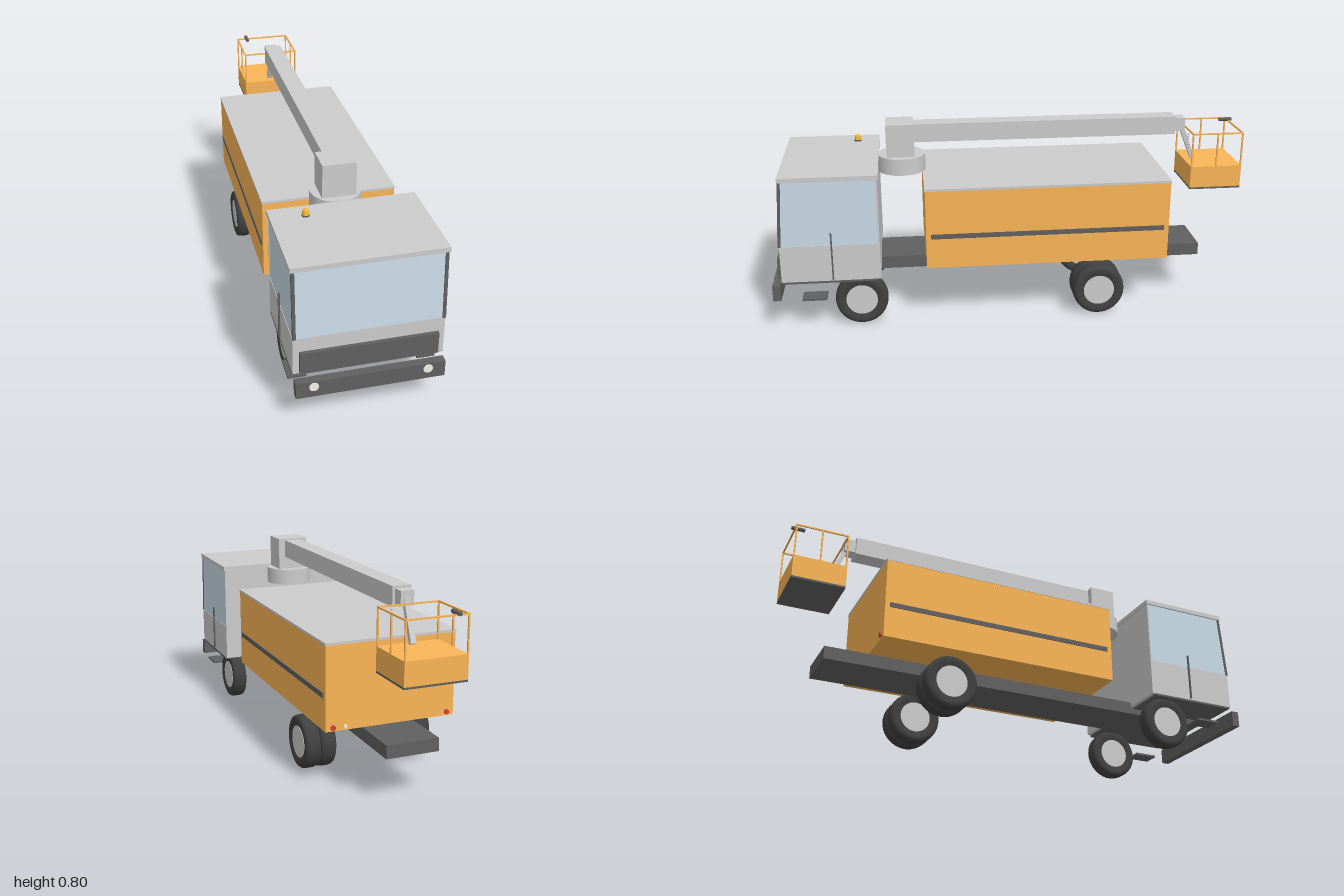
import * as THREE from 'three';

const mat = (color) => new THREE.MeshStandardMaterial({ color });
const GREY = mat(0xcccccc), ORANGE = mat(0xfab556), DARK = mat(0x606060), RUBBER = mat(0x404040);
const GLASS = mat(0xc8dae6), WHITE = mat(0xf2f2ea), RED = mat(0xd84030), AMBER = mat(0xf0b830);

export function createModel() {
  const model = new THREE.Group();

  const add = (name, geometry, material, x = 0, y = 0, z = 0, parent = model) => {
    const mesh = new THREE.Mesh(geometry, material);
    mesh.name = name;
    mesh.position.set(x, y, z);
    parent.add(mesh);
    return mesh;
  };
  // Box given by its lower and upper limits on each axis
  const box = (name, material, [x0, x1], [y0, y1], [z0, z1], parent) =>
    add(name, new THREE.BoxGeometry(x1 - x0, y1 - y0, z1 - z0), material,
      (x0 + x1) / 2, (y0 + y1) / 2, (z0 + z1) / 2, parent);
  // Side outline as [z, y] points, extruded across x
  const sideExtrude = (name, material, points, x0, x1, parent) => {
    const shape = new THREE.Shape(points.map(([z, y]) => new THREE.Vector2(-z, y)));
    const g = new THREE.ExtrudeGeometry(shape, { depth: x1 - x0, bevelEnabled: false });
    g.rotateY(Math.PI / 2);
    return add(name, g, material, x0, 0, 0, parent);
  };

  // Chassis and bumper
  box('chassis', DARK, [-0.108, 0.108], [0.187, 0.24], [-0.83, 0.89]);
  box('bumper', DARK, [-0.282, 0.282], [0.138, 0.205], [0.965, 0.998]);

  // Cab
  const cab = new THREE.Group();
  cab.name = 'cab';
  model.add(cab);
  box('cabLower', GREY, [-0.284, 0.284], [0.22, 0.375], [0.56, 0.957], cab);
  box('cabFloor', DARK, [-0.286, 0.286], [0.212, 0.22], [0.57, 0.95], cab);
  sideExtrude('cabWindows', GLASS,
    [[0.56, 0.375], [0.957, 0.375], [0.938, 0.65], [0.56, 0.65]], -0.282, 0.282, cab);
  box('cabBackWall', GREY, [-0.284, 0.284], [0.22, 0.65], [0.555, 0.562], cab);
  box('cabRoof', GREY, [-0.289, 0.289], [0.648, 0.667], [0.55, 0.945], cab);
  box('grille', DARK, [-0.26, 0.26], [0.227, 0.317], [0.95, 0.972], cab);

  for (const s of [-1, 1]) {
    const span = (a, b) => (s > 0 ? [a, b] : [-b, -a]);
    const [p0, p1] = span(0.272, 0.284);
    sideExtrude('windscreenPillar', DARK,
      [[0.95, 0.375], [0.962, 0.375], [0.943, 0.65], [0.931, 0.65]], p0, p1, cab);
    box('doorSeam', DARK, span(0.284, 0.291), [0.227, 0.43], [0.746, 0.752], cab);
    box('step', DARK, span(0.215, 0.286), [0.134, 0.143], [0.78, 0.88]);
    const lamp = add('headlight', new THREE.CylinderGeometry(0.018, 0.018, 0.01, 24), WHITE, s * 0.215, 0.183, 0.996);
    lamp.rotation.x = Math.PI / 2;
  }

  // Warning beacon above the roof
  add('beaconBase', new THREE.CylinderGeometry(0.015, 0.015, 0.006, 20), DARK, -0.16, 0.682, 0.64);
  add('beaconSide', new THREE.CylinderGeometry(0.012, 0.014, 0.012, 20), AMBER, -0.16, 0.691, 0.64);
  add('beaconDome', new THREE.SphereGeometry(0.0125, 20, 8, 0, Math.PI * 2, 0, Math.PI / 2), AMBER, -0.16, 0.697, 0.64);

  // Wheels: rounded tyre profile swept round the axle, with a pale hub
  const R = 0.109, W = 0.033;
  const tyreProfile = [[0.064, -0.8], [0.08, -0.95], [0.093, -1], [0.102, -0.9], [0.107, -0.7], [0.109, -0.35],
    [0.109, 0.35], [0.107, 0.7], [0.102, 0.9], [0.093, 1], [0.08, 0.95], [0.064, 0.8]];
  const tyreGeometry = new THREE.LatheGeometry(tyreProfile.map(([r, w]) => new THREE.Vector2(r, w * W)), 40);
  const hubGeometry = new THREE.CylinderGeometry(0.065, 0.065, W * 1.75, 32);
  const wheel = (name, x, z) => {
    const g = new THREE.Group();
    g.name = name;
    g.position.set(x, R + 0.004, z);
    g.rotation.z = Math.PI / 2;
    add('tyre', tyreGeometry, RUBBER, 0, 0, 0, g);
    add('hub', hubGeometry, GREY, 0, 0, 0, g);
    model.add(g);
  };
  for (const s of [-1, 1]) {
    wheel('frontWheel', s * 0.225, 0.64);
    wheel('rearOuterWheel', s * 0.241, -0.358);
    wheel('rearInnerWheel', s * 0.176, -0.358);
  }

  // Equipment body
  box('body', ORANGE, [-0.27, 0.27], [0.25, 0.584], [-0.645, 0.367]);
  box('bodyRoof', GREY, [-0.272, 0.272], [0.584, 0.594], [-0.647, 0.369]);
  for (const s of [-1, 1])
    box('sideStripe', DARK, [s * 0.271 - 0.002, s * 0.271 + 0.002], [0.378, 0.398], [-0.625, 0.347]);
  for (const [x, m, r] of [[-0.24, RED, 0.01], [0.24, RED, 0.01], [0.19, WHITE, 0.007]]) {
    const lamp = add('rearLamp', new THREE.CylinderGeometry(r, r, 0.01, 16), m, x, 0.265, -0.648);
    lamp.rotation.x = Math.PI / 2;
  }

  // Turntable and boom
  add('turntable', new THREE.CylinderGeometry(0.1, 0.1, 0.07, 40), GREY, 0, 0.633, 0.455);
  box('boomPivot', GREY, [-0.067, 0.067], [0.667, 0.806], [0.4, 0.517]);
  box('boom', GREY, [-0.038, 0.038], [0.723, 0.8], [-0.715, 0.41]);
  box('boomTip', GREY, [-0.027, 0.027], [0.733, 0.79], [-0.76, -0.71]);
  sideExtrude('basketLink', GREY,
    [[-0.745, 0.735], [-0.8, 0.6], [-0.816, 0.607], [-0.765, 0.735], [-0.758, 0.785], [-0.745, 0.785]], -0.011, 0.011);

  // Work basket
  const basket = new THREE.Group();
  basket.name = 'basket';
  model.add(basket);
  const bx = 0.125, zf = -0.769, zb = -0.989, zm = (zf + zb) / 2, t = 0.003, top = 0.743;
  box('basketTub', ORANGE, [-bx, bx], [0.508, 0.6], [zb, zf], basket);
  box('basketFloor', DARK, [-bx, bx], [0.5, 0.508], [zb, zf], basket);
  for (const s of [-1, 1]) {
    const x = s * (bx - t);
    for (const z of [zf - t, zm, zb + t])
      box('railPost', ORANGE, [x - t, x + t], [0.6, top], [z - t, z + t], basket);
    box('sideRail', ORANGE, [x - t, x + t], [top - t, top + t], [zb, zf], basket);
  }
  for (const z of [zf - t, zb + t])
    box('endRail', ORANGE, [-bx, bx], [top - t, top + t], [z - t, z + t], basket);
  const control = add('controlHandle', new THREE.CylinderGeometry(0.008, 0.008, 0.055, 16), DARK, -0.08, 0.749, -0.972, basket);
  control.rotation.x = Math.PI / 2;

  // Hanging chain beside the basket gate
  for (let i = 0; i < 6; i++)
    add('chainLink', new THREE.SphereGeometry(0.0045, 10, 8), GREY, 0.066, 0.674 + i * 0.011, -0.766, basket);

  return model;
}
